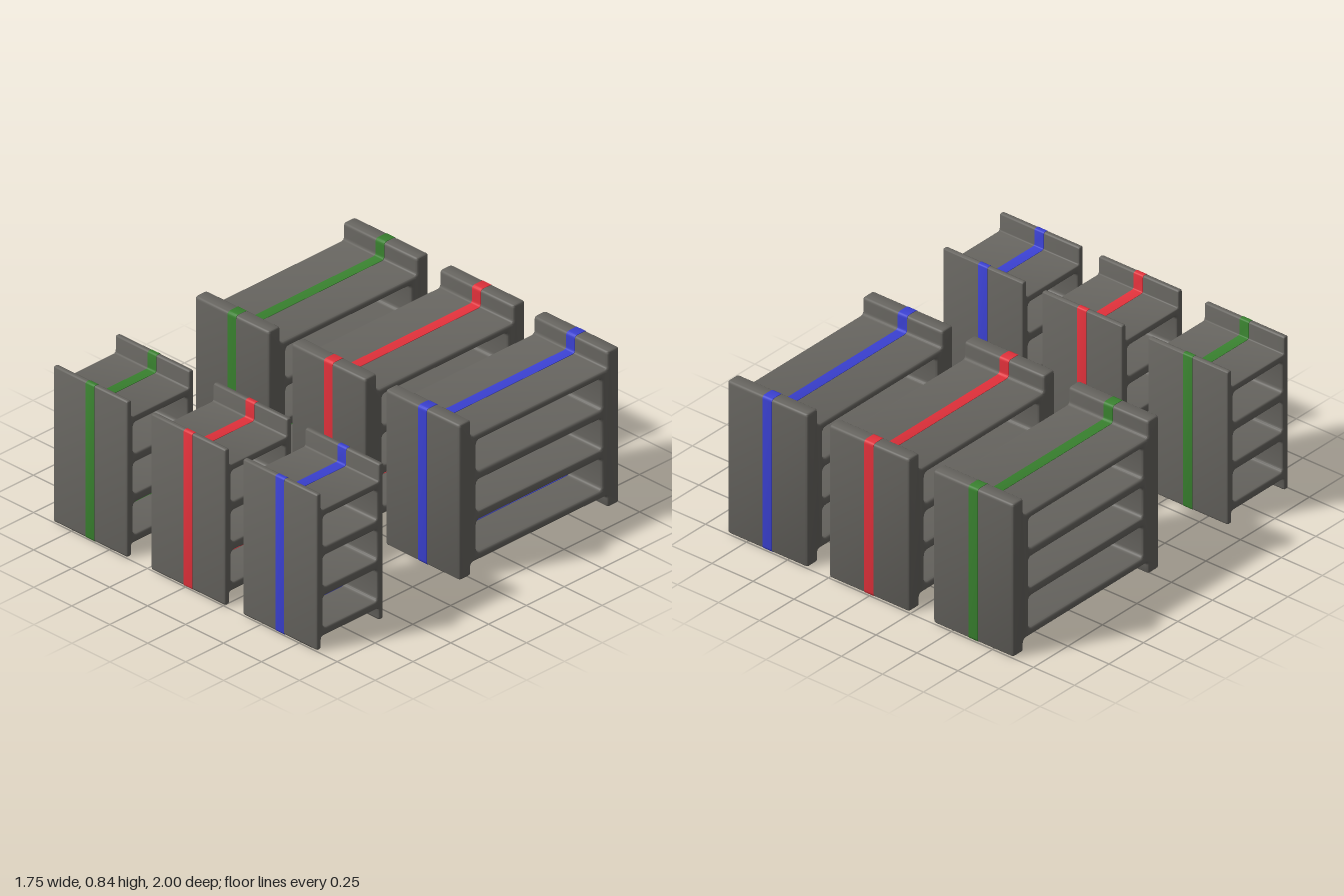
import * as THREE from 'three';
import { toCreasedNormals } from 'three/addons/utils/BufferGeometryUtils.js';

const HEIGHT = 0.835, WIDTH = 0.49, STRIPE = 0.058;
const DECK_BOTTOM = 0.064, DECK_TOP = 0.743;
const OPENINGS = [[0.107, 0.278], [0.326, 0.492], [0.54, 0.706]];

// Closed path through the given corners, each rounded by radius r
function roundedPath(path, pts, r) {
  const v = pts.map(([x, y]) => new THREE.Vector2(x, y));
  const toward = (a, b) => a.clone().add(b.clone().sub(a).setLength(r));
  v.forEach((p, i) => {
    const prev = v[(i + v.length - 1) % v.length], next = v[(i + 1) % v.length];
    const a = toward(p, prev), b = toward(p, next);
    if (i === 0) path.moveTo(a.x, a.y); else path.lineTo(a.x, a.y);
    path.quadraticCurveTo(p.x, p.y, b.x, b.y);
  });
  path.closePath();
  return path;
}

// Side profile: two upright panels joined by four shelves
function rackProfile({ zFront, zBack, panel, wall, radius }) {
  const f = -zFront, b = -zBack, fi = f + panel, bi = b - panel;
  const shape = roundedPath(new THREE.Shape(), [
    [f, 0], [fi, 0], [fi, DECK_BOTTOM], [bi, DECK_BOTTOM], [bi, 0], [b, 0],
    [b, HEIGHT], [bi, HEIGHT], [bi, DECK_TOP], [fi, DECK_TOP], [fi, HEIGHT], [f, HEIGHT],
  ], radius);
  for (const [y0, y1] of OPENINGS) {
    shape.holes.push(roundedPath(new THREE.Path(), [
      [f + wall, y0], [f + wall, y1], [b - wall, y1], [b - wall, y0],
    ], 0.022));
  }
  return shape;
}

// Extrude a profile across x, centred, with the total width given
function extrudeAcross(shape, width, bevel) {
  const geo = new THREE.ExtrudeGeometry(shape, {
    depth: width - 2 * bevel.bevelThickness, curveSegments: 4, bevelEnabled: true, ...bevel,
  });
  geo.translate(0, 0, -(width / 2 - bevel.bevelThickness));
  geo.rotateY(Math.PI / 2);
  return toCreasedNormals(geo, 0.65);
}

export function createModel() {
  const model = new THREE.Group();
  model.name = 'shelfRacks';
  const bodyMaterial = new THREE.MeshStandardMaterial({ color: 0x66645f });

  const sizes = [
    { name: 'small', zFront: 0.998, zBack: 0.557, panel: 0.031, wall: 0.042, radius: 0.013, edge: 0.01, xs: [-0.63, 0.015, 0.62] },
    { name: 'large', zFront: 0.06, zBack: -0.998, panel: 0.078, wall: 0.115, radius: 0.018, edge: 0.014, xs: [-0.63, 0.005, 0.625] },
  ];
  const colours = [['Green', 0x38802e], ['Red', 0xe0303a], ['Blue', 0x3a40d0]];

  for (const size of sizes) {
    const shape = rackProfile(size);
    // Body with softened side edges
    const bodyGeo = extrudeAcross(shape, WIDTH, {
      bevelThickness: size.edge, bevelSize: size.edge, bevelOffset: -size.edge, bevelSegments: 3,
    });
    // Stripe band standing just proud of the body
    const stripeGeo = extrudeAcross(shape, STRIPE, {
      bevelThickness: 0.001, bevelSize: 0.0015, bevelOffset: 0, bevelSegments: 1,
    });
    colours.forEach(([label, color], i) => {
      const rack = new THREE.Group();
      rack.name = size.name + label + 'Rack';
      const body = new THREE.Mesh(bodyGeo, bodyMaterial);
      body.name = 'rackBody';
      const stripe = new THREE.Mesh(stripeGeo, new THREE.MeshStandardMaterial({ color }));
      stripe.name = 'stripe';
      rack.add(body, stripe);
      rack.position.set(size.xs[i], 0.0015, 0);
      model.add(rack);
    });
  }
  return model;
}
